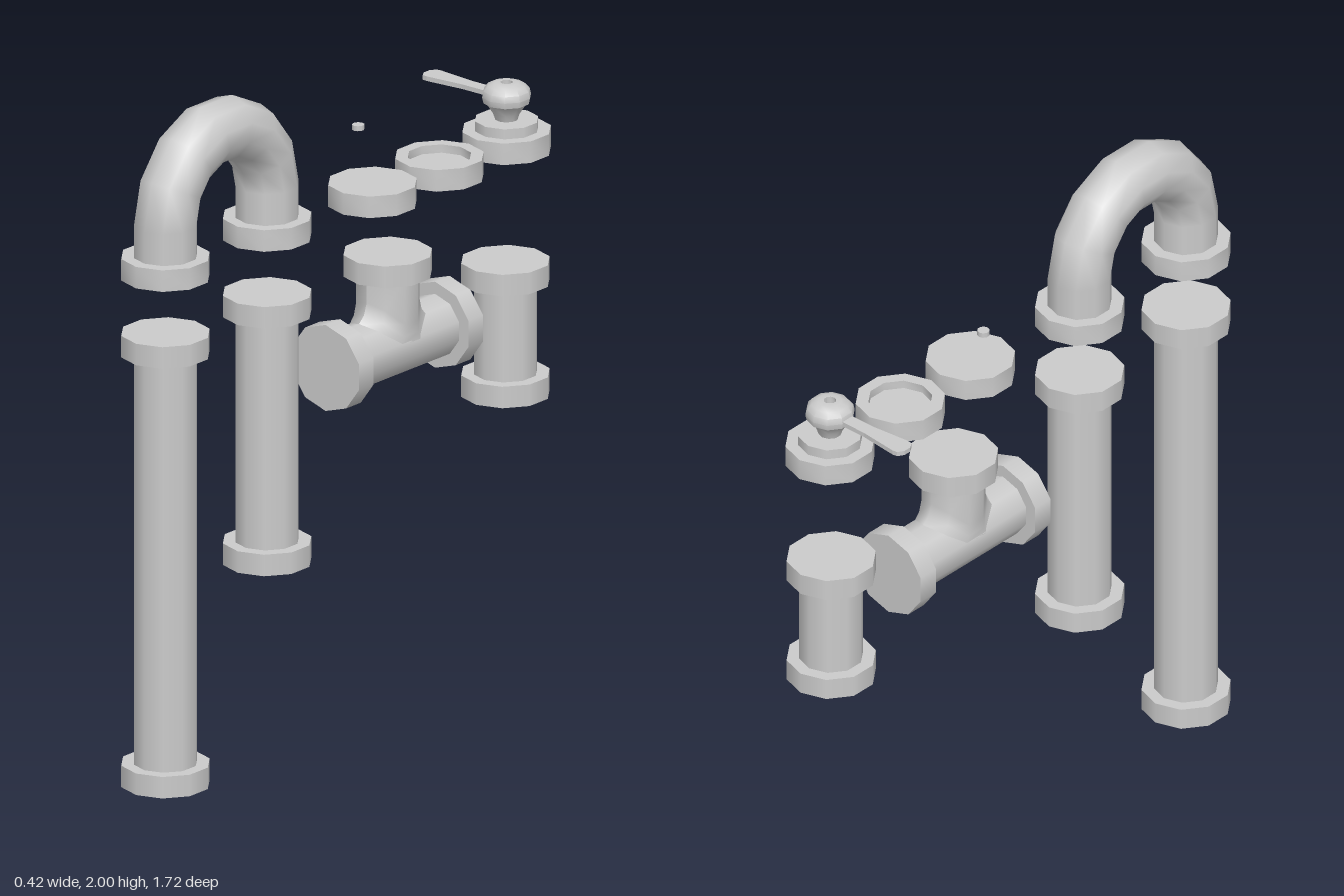
import * as THREE from 'three';
import { toCreasedNormals } from 'three/addons/utils/BufferGeometryUtils.js';

const SIDES = 10, PIPE = 0.093, RIM = 0.13, RIM_H = 0.065, BORE = 0.1;
const X = 0.04, XB = 0.084; // the two rows of parts
const grey = new THREE.MeshStandardMaterial({ color: 0xcccccc, side: THREE.DoubleSide });

export function createModel() {
  const model = new THREE.Group();
  model.name = 'plumbingParts';

  const add = (parent, name, geometry, x = 0, y = 0, z = 0) => {
    const mesh = new THREE.Mesh(geometry, grey);
    mesh.name = name;
    mesh.position.set(x, y, z);
    parent.add(mesh);
    return mesh;
  };
  const group = (name, x, y, z) => {
    const g = new THREE.Group();
    g.name = name;
    g.position.set(x, y, z);
    model.add(g);
    return g;
  };
  const tube = (length) => new THREE.CylinderGeometry(PIPE, PIPE, length, SIDES, 1, true);
  const disc = (r, h) => new THREE.CylinderGeometry(r, r, h, SIDES);
  const lathe = (points) => toCreasedNormals(
    new THREE.LatheGeometry(points.map(([r, y]) => new THREE.Vector2(r, y)), SIDES), 0.72);
  // Rim hollow from below, with a closed top
  const cup = () => lathe([[0, 0.045], [BORE, 0.045], [BORE, 0], [RIM, 0], [RIM, RIM_H], [0, RIM_H]]);

  // Straight pipes with a solid rim at each end
  const straightPipe = (name, x, z, bottom, top) => {
    const g = group(name, x, bottom, z);
    const length = top - bottom;
    add(g, 'tube', tube(length - RIM_H), 0, length / 2, 0);
    add(g, 'lowerRim', disc(RIM, RIM_H), 0, RIM_H / 2, 0);
    add(g, 'upperRim', disc(RIM, RIM_H), 0, length - RIM_H / 2, 0);
  };
  straightPipe('longPipe', X, 0.731, 0, 1.363);
  straightPipe('mediumPipe', X, 0.28, 0.55, 1.363);
  straightPipe('shortPipe', XB, -0.725, 0.797, 1.2);

  // U-bend: half ring on two short legs with hollow rims
  const bend = group('bend', X, 1.53, 0.5055);
  const bendRadius = 0.2255, legTop = 0.16;
  add(bend, 'arch', new THREE.TorusGeometry(bendRadius, PIPE, SIDES, 7, Math.PI).rotateY(Math.PI / 2), 0, legTop, 0);
  for (const s of [1, -1]) {
    const legLength = legTop - 0.05;
    add(bend, 'leg', tube(legLength), 0, legTop - legLength / 2, s * bendRadius);
    add(bend, 'rim', cup(), 0, 0, s * bendRadius);
  }

  // Tee: run along z, branch going up
  const tee = group('tee', X, 1.064, -0.255);
  add(tee, 'run', tube(0.46).rotateX(Math.PI / 2));
  for (const s of [1, -1]) {
    add(tee, 'runRim', disc(RIM, RIM_H).rotateX(Math.PI / 2), 0, 0, s * 0.243);
  }
  // Branch tube: its lower rings follow the run's surface and flare along it
  const branch = new THREE.CylinderGeometry(PIPE, PIPE, 1, SIDES, 3, true);
  const pos = branch.attributes.position;
  const flare = [1.42, 1.13, 1, 1], lift = [-0.005, 0.02, 0.055];
  for (let i = 0; i < pos.count; i++) {
    const row = Math.round((pos.getY(i) + 0.5) * 3);
    const x = pos.getX(i);
    const surface = Math.sqrt(Math.max(PIPE * PIPE - x * x, 0));
    pos.setY(i, row === 3 ? 0.23 : surface + lift[row]);
    pos.setZ(i, pos.getZ(i) * flare[row]);
  }
  branch.computeVertexNormals();
  add(tee, 'branch', branch);
  add(tee, 'branchRim', disc(RIM, RIM_H), 0, 0.245, 0);

  // End cap, closed on top
  add(model, 'endCap', cup(), XB, 1.53, -0.135);

  // Coupling ring, recessed on both sides of a thin web
  add(model, 'coupling', lathe([
    [0, 0.034], [BORE, 0.034], [BORE, 0], [RIM, 0], [RIM, RIM_H],
    [PIPE, RIM_H], [PIPE, 0.04], [0, 0.04],
  ]), XB, 1.53, -0.432);

  // Valve: cap, collar, knob with a screw hole, and lever
  const valve = group('valve', XB, 1.53, -0.73);
  add(valve, 'valveCap', cup());
  add(valve, 'collar', disc(PIPE, 0.03), 0, RIM_H + 0.015, 0);
  add(valve, 'knob', lathe([
    [0.033, 0.095], [0.04, 0.115], [0.058, 0.143], [0.068, 0.147], [0.072, 0.165],
    [0.068, 0.183], [0.055, 0.198], [0.035, 0.206], [0.018, 0.206], [0.018, 0.185], [0, 0.185],
  ]));
  const half = [[0, 0.02], [-0.15, 0.021], [-0.27, 0.033], [-0.286, 0.031], [-0.298, 0.012]];
  const outline = [...half, ...half.map(([x, y]) => [x, -y]).reverse()];
  const lever = new THREE.ExtrudeGeometry(
    new THREE.Shape(outline.map(([x, y]) => new THREE.Vector2(x, y))),
    { depth: 0.014, bevelEnabled: false }).rotateX(-Math.PI / 2);
  add(valve, 'lever', lever, 0, 0.157, 0);

  // Loose screw for the knob
  add(model, 'screw', disc(0.018, 0.015), 0, 1.732, -0.172);

  return model;
}
